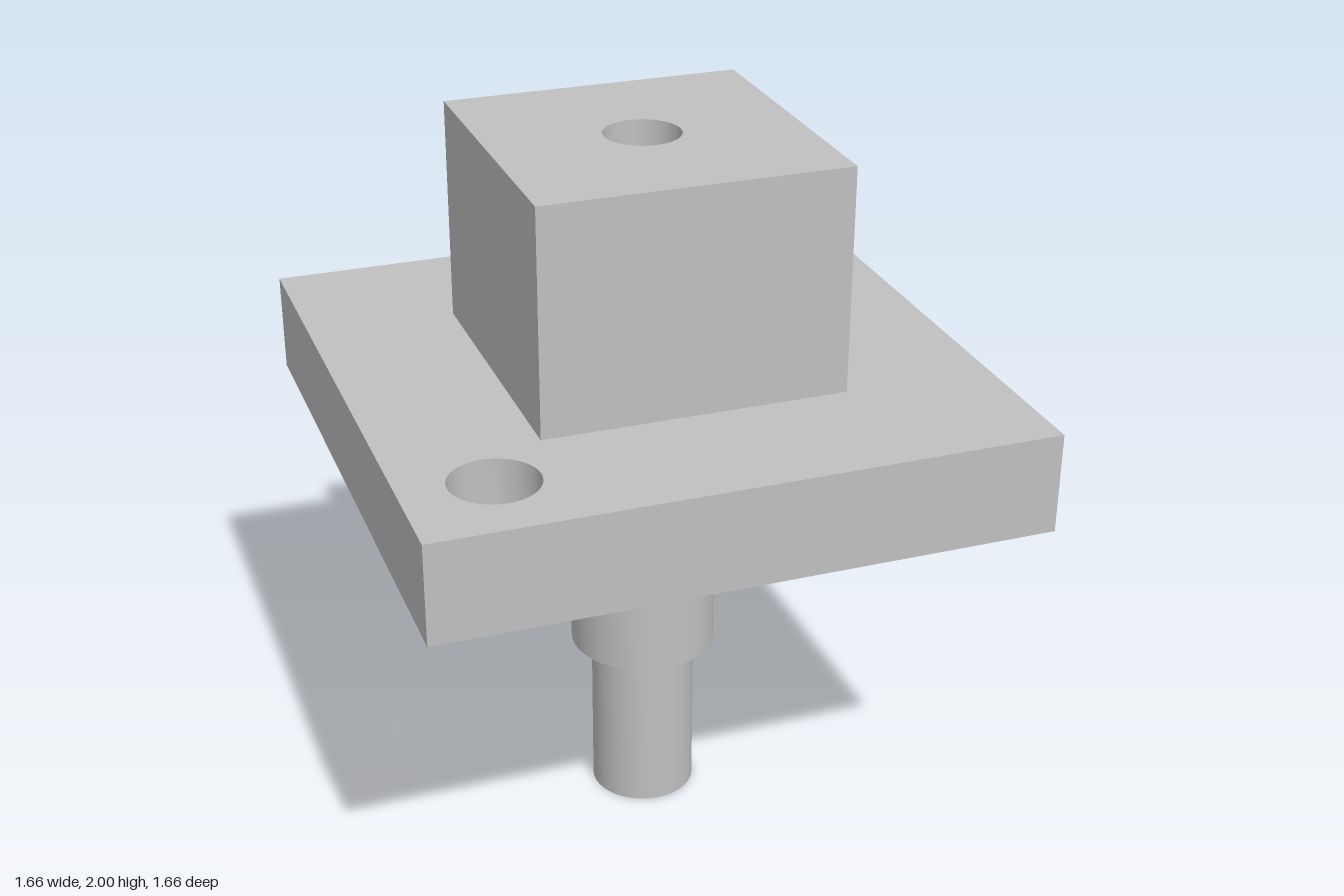
import * as THREE from 'three';
import { toCreasedNormals } from 'three/addons/utils/BufferGeometryUtils.js';

const BORE = 0.104;

function square(half) {
  return new THREE.Shape([
    new THREE.Vector2(-half, -half), new THREE.Vector2(half, -half),
    new THREE.Vector2(half, half), new THREE.Vector2(-half, half),
  ]);
}

function circle(radius, x = 0, y = 0) {
  return new THREE.Shape().absarc(x, y, radius, 0, Math.PI * 2, false);
}

export function createModel() {
  const group = new THREE.Group();
  const metal = new THREE.MeshStandardMaterial({ color: 0xc0c0c0 });

  // Extrudes an outline upwards from y0 to y1, with the central bore and any extra holes
  function addPart(name, outline, y0, y1, holes = []) {
    outline.holes.push(circle(BORE), ...holes);
    const solid = new THREE.ExtrudeGeometry(outline, {
      depth: y1 - y0, bevelEnabled: false, curveSegments: 32,
    });
    solid.rotateX(-Math.PI / 2).translate(0, y0, 0);
    const mesh = new THREE.Mesh(toCreasedNormals(solid, 0.5), metal);
    mesh.name = name;
    group.add(mesh);
  }

  // Stepped hollow stem
  addPart('lowerTube', circle(0.147), 0, 0.487);
  addPart('upperTube', circle(0.205), 0.487, 1.105);

  // Square flange with two mounting holes in opposite corners
  addPart('flangePlate', square(0.828), 1.105, 1.381,
    [1, -1].map((s) => circle(0.118, s * 0.586, s * 0.586)));

  // Block on top of the flange
  addPart('topBlock', square(0.417), 1.381, 2);

  return group;
}
